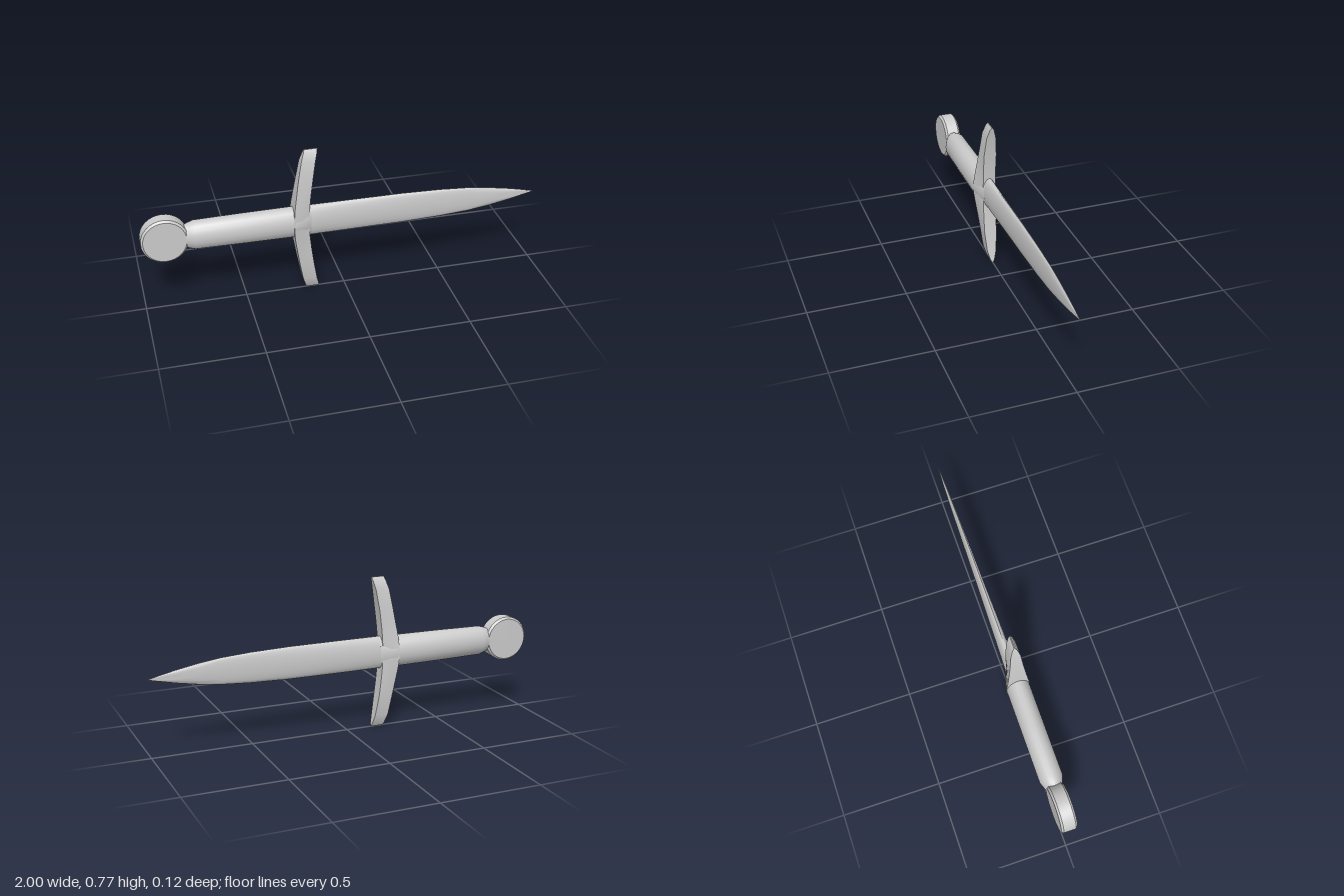
import * as THREE from 'three';
import { toCreasedNormals } from 'three/addons/utils/BufferGeometryUtils.js';

const MID = 0.387; // height of the long axis

// Skin over equal-length rings that run counter-clockwise about the travel direction
function loft(rings, crease) {
  const n = rings[0].length;
  const pos = [];
  const tri = (a, b, c) => pos.push(...a, ...b, ...c);
  for (let i = 0; i < rings.length - 1; i++) {
    for (let j = 0; j < n; j++) {
      const k = (j + 1) % n;
      const [a, b, c, d] = [rings[i][j], rings[i][k], rings[i + 1][j], rings[i + 1][k]];
      tri(a, b, c);
      tri(b, d, c);
    }
  }
  const first = rings[0];
  const last = rings[rings.length - 1];
  for (let j = 1; j < n - 1; j++) {
    tri(first[0], first[j + 1], first[j]);
    tri(last[0], last[j], last[j + 1]);
  }
  const g = new THREE.BufferGeometry();
  g.setAttribute('position', new THREE.Float32BufferAttribute(pos, 3));
  return toCreasedNormals(g, crease);
}

// Oval section across x: half height h, half thickness t
function oval([x, h, t], sides = 20) {
  return Array.from({ length: sides }, (_, i) => {
    const a = (i / sides) * Math.PI * 2;
    return [x, h * Math.cos(a), t * Math.sin(a)];
  });
}

export function createModel() {
  const group = new THREE.Group();
  const material = new THREE.MeshStandardMaterial({ color: 0xcccccc });
  const add = (name, geometry) => {
    const mesh = new THREE.Mesh(geometry, material);
    mesh.name = name;
    mesh.position.y = MID;
    group.add(mesh);
    return mesh;
  };

  // Blade: x, half height, half thickness
  add('blade', loft([
    [-0.22, 0.083, 0.036], [-0.15, 0.083, 0.030], [0, 0.083, 0.025], [0.3, 0.082, 0.018],
    [0.5, 0.076, 0.014], [0.65, 0.066, 0.011], [0.76, 0.051, 0.009], [0.87, 0.031, 0.007],
    [0.95, 0.013, 0.004], [1, 0.001, 0.001],
  ].map(s => oval(s)), 0.9));

  // Oval grip, pinched where it meets the pommel
  add('grip', loft([
    [-0.83, 0.066, 0.037], [-0.79, 0.057, 0.039], [-0.77, 0.066, 0.047], [-0.74, 0.075, 0.058],
    [-0.5, 0.079, 0.058], [-0.25, 0.081, 0.058], [-0.2, 0.081, 0.044], [-0.17, 0.081, 0.032],
  ].map(s => oval(s)), 0.7));

  // Curved crossguard: distance from centre, back x, front x, half thickness
  const half = [
    [0, -0.26, -0.18, 0.058], [0.03, -0.26, -0.18, 0.058], [0.08, -0.256, -0.178, 0.051],
    [0.15, -0.245, -0.171, 0.042], [0.22, -0.234, -0.162, 0.034], [0.325, -0.215, -0.145, 0.024],
    [0.372, -0.2, -0.133, 0.011], [0.386, -0.195, -0.13, 0.002],
  ];
  const sections = [...half.slice(1).reverse().map(([y, ...s]) => [-y, ...s]), ...half];
  add('crossguard', loft(sections.map(([y, x0, x1, w]) => {
    const front = Math.min(w, 0.033) * 0.97;
    const xm = THREE.MathUtils.lerp(x0, x1, 0.55);
    const wm = THREE.MathUtils.lerp(w, front, 0.45);
    return [[x0, y, w], [xm, y, wm], [x1, y, front], [x1, y, -front], [xm, y, -wm], [x0, y, -w]];
  }), 0.5));

  // Round disc pommel with bevelled rims
  const rim = [[0, -0.04], [0.105, -0.04], [0.115, -0.03], [0.115, 0.03], [0.105, 0.04], [0, 0.04]];
  const disc = new THREE.LatheGeometry(rim.map(p => new THREE.Vector2(...p)), 32);
  const pommel = add('pommel', toCreasedNormals(disc.toNonIndexed(), 0.5));
  pommel.rotation.x = Math.PI / 2;
  pommel.position.x = -0.885;

  return group;
}
